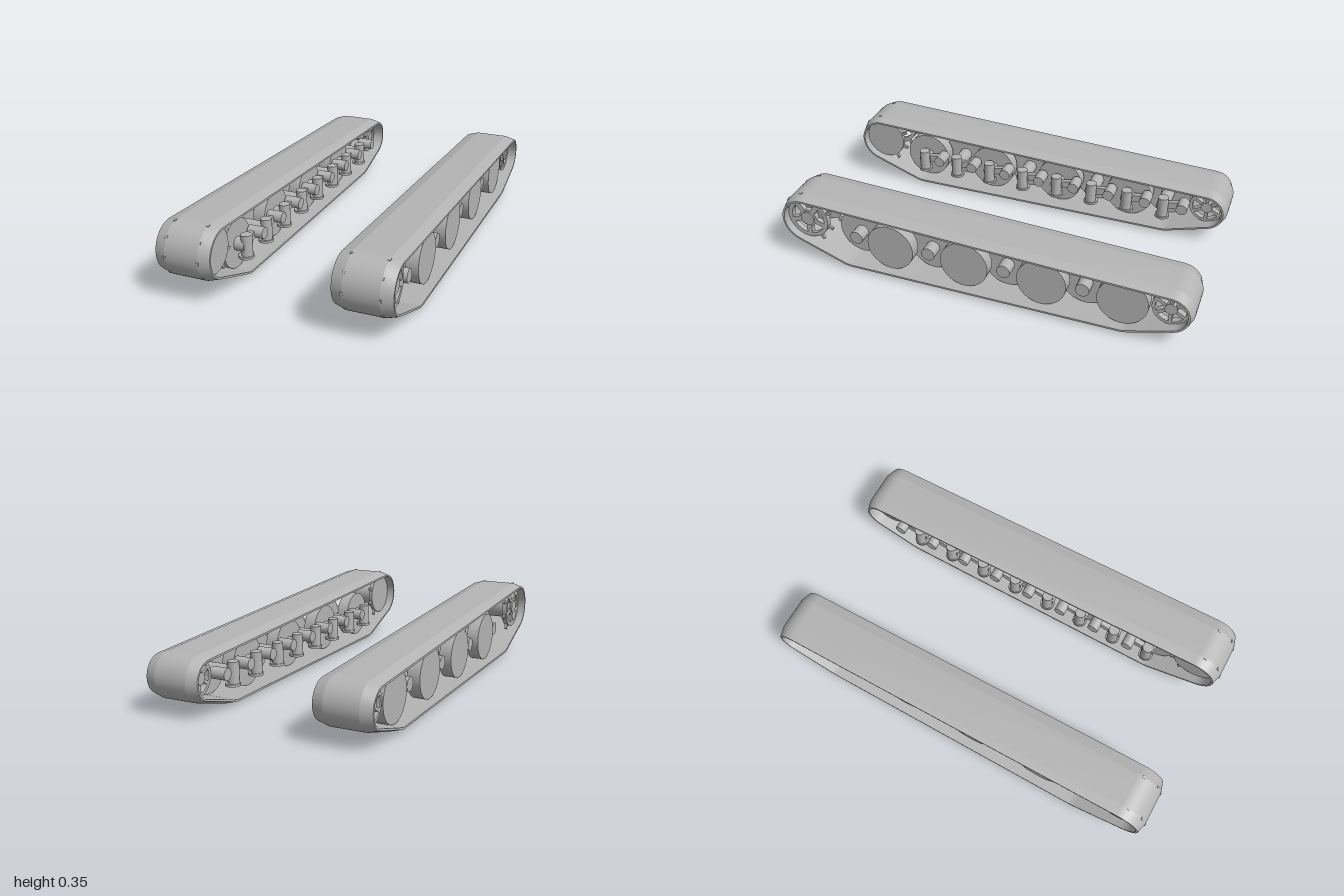
import * as THREE from 'three';
import { toCreasedNormals } from 'three/addons/utils/BufferGeometryUtils.js';

const metal = new THREE.MeshStandardMaterial({ color: 0xb4b4b4 });
metal.name = 'light grey metal';

const CENTRE = 0.405; // distance of each track's middle from x = 0

// Belt outline: arcs round four guide circles joined by tangents, as [z, y, normalZ, normalY]
function beltOutline() {
  const circles = [[0.868, 0.22, 0.13, 28], [-0.892, 0.17, 0.106, 24], [-0.68, 0.147, 0.145, 6], [0.63, 0.147, 0.145, 6]];
  const tangents = circles.map(([z, y, r], i) => {
    const [z2, y2, r2] = circles[(i + 1) % 4];
    return Math.atan2(y2 - y, z2 - z) - Math.acos((r - r2) / Math.hypot(z2 - z, y2 - y));
  });
  const points = [];
  circles.forEach(([z, y, r, steps], i) => {
    const start = tangents[(i + 3) % 4];
    let sweep = (tangents[i] - start) % (2 * Math.PI);
    if (sweep < 0) sweep += 2 * Math.PI;
    for (let k = 0; k <= steps; k++) {
      const a = start + sweep * k / steps, c = Math.cos(a), s = Math.sin(a);
      points.push([z + r * c, y + r * s, c, s]);
    }
  });
  return points;
}

// Belt: a chamfered cross-section swept round the outline
function beltGeometry() {
  const section = [[-0.132, 0.015], [-0.08, 0], [0.08, 0], [0.132, 0.015], [0.132, 0.024], [-0.132, 0.024]];
  const outline = beltOutline(), n = outline.length, m = section.length;
  const positions = [], index = [];
  outline.forEach(([z, y, nz, ny], i) => section.forEach(([x, inset], j) => {
    positions.push(x, y - ny * inset, z - nz * inset);
    const a = i * m + j, b = i * m + (j + 1) % m;
    const c = ((i + 1) % n) * m + j, d = ((i + 1) % n) * m + (j + 1) % m;
    index.push(a, b, c, b, d, c);
  }));
  const g = new THREE.BufferGeometry();
  g.setAttribute('position', new THREE.Float32BufferAttribute(positions, 3));
  g.setIndex(index);
  return toCreasedNormals(g, 0.25);
}

// Wheel plate with wedge-shaped windows between its spokes, facing along x
function spokedGeometry(radius, outer, inner, count, spoke, depth, turn = 0) {
  const shape = new THREE.Shape().absarc(0, 0, radius, 0, Math.PI * 2);
  for (let i = 0; i < count; i++) {
    const mid = turn + i * 2 * Math.PI / count, half = Math.PI / count;
    const a = half - spoke / outer, b = half - spoke / inner;
    const hole = new THREE.Path();
    hole.absarc(0, 0, outer, mid - a, mid + a, false);
    hole.absarc(0, 0, inner, mid + b, mid - b, true);
    hole.closePath();
    shape.holes.push(hole);
  }
  const g = new THREE.ExtrudeGeometry(shape, { depth, bevelEnabled: false, curveSegments: 24 });
  return toCreasedNormals(g.translate(0, 0, -depth / 2).rotateY(-Math.PI / 2), 0.5);
}

export function createModel() {
  const model = new THREE.Group();
  model.name = 'trackPair';
  const belt = beltGeometry();
  const sprocketFace = spokedGeometry(0.106, 0.085, 0.045, 5, 0.013, 0.025, Math.PI / 2);
  const idlerFace = spokedGeometry(0.085, 0.07, 0.028, 6, 0.008, 0.03);

  for (const side of [1, -1]) {
    const track = new THREE.Group();
    track.name = side > 0 ? 'leftTrack' : 'rightTrack';
    model.add(track);

    const add = (name, geometry, x, y, z) => {
      const mesh = new THREE.Mesh(geometry, metal);
      mesh.name = name;
      mesh.position.set(side * x, y, z);
      track.add(mesh);
      return mesh;
    };
    // Cylinder lying along x between two distances from the middle
    const axle = (name, r, x0, x1, y, z, segments = 32) =>
      add(name, new THREE.CylinderGeometry(r, r, x1 - x0, segments).rotateZ(Math.PI / 2), (x0 + x1) / 2, y, z);

    add('belt', belt, CENTRE, 0, 0);

    // Drive sprocket
    const sy = 0.22, sz = 0.868;
    add('sprocketFace', sprocketFace, 0.485, sy, sz);
    axle('sprocketInnerDisc', 0.106, 0.315, 0.335, sy, sz);
    axle('sprocketDrum', 0.06, 0.335, 0.46, sy, sz);
    axle('sprocketHub', 0.035, 0.46, 0.505, sy, sz, 20);
    for (const x of [0.325, 0.485]) {
      for (let i = 0; i < 9; i++) {
        const a = (-2 + 40 * i) * Math.PI / 180;
        const tooth = add('sprocketTooth', new THREE.BoxGeometry(0.012, 0.014, 0.034), x,
          sy + 0.115 * Math.sin(a), sz + 0.115 * Math.cos(a));
        tooth.rotation.x = -a;
      }
    }

    // Rear idler
    add('idlerFace', idlerFace, 0.475, 0.17, -0.892);
    add('idlerInnerFace', idlerFace, 0.345, 0.17, -0.892);
    axle('idlerAxle', 0.028, 0.32, 0.495, 0.17, -0.892, 20);

    // Overlapping road wheels with trailing suspension arms
    for (let i = 0; i < 8; i++) {
      const z = 0.63 - i * 0.187, y = 0.145;
      if (i % 2) {
        axle('outerRoadWheel', 0.117, 0.43, 0.49, y, z, 48);
        axle('wheelAxle', 0.033, 0.3, 0.43, y, z, 20);
      } else {
        axle('innerRoadWheel', 0.117, 0.35, 0.41, y, z, 48);
        axle('wheelHub', 0.033, 0.41, 0.475, y, z, 20);
        axle('wheelAxle', 0.033, 0.3, 0.35, y, z, 20);
      }
      add('suspensionPost', new THREE.CylinderGeometry(0.027, 0.027, 0.11, 20), 0.301, 0.143, z);
      add('postFoot', new THREE.CylinderGeometry(0.036, 0.036, 0.012, 20), 0.306, 0.09, z);
      axle('armPivot', 0.028, 0.262, 0.34, 0.167, z - 0.1, 20);
      const arm = add('suspensionArm', new THREE.BoxGeometry(0.025, 0.035, 0.1), 0.315, 0.156, z - 0.05);
      arm.rotation.x = 0.2;
    }

    // Return rail under the upper run
    const rail = add('returnRail', new THREE.BoxGeometry(0.05, 0.022, 0.48), 0.42, 0.262, -0.36);
    rail.rotation.x = -0.043;
  }
  return model;
}
